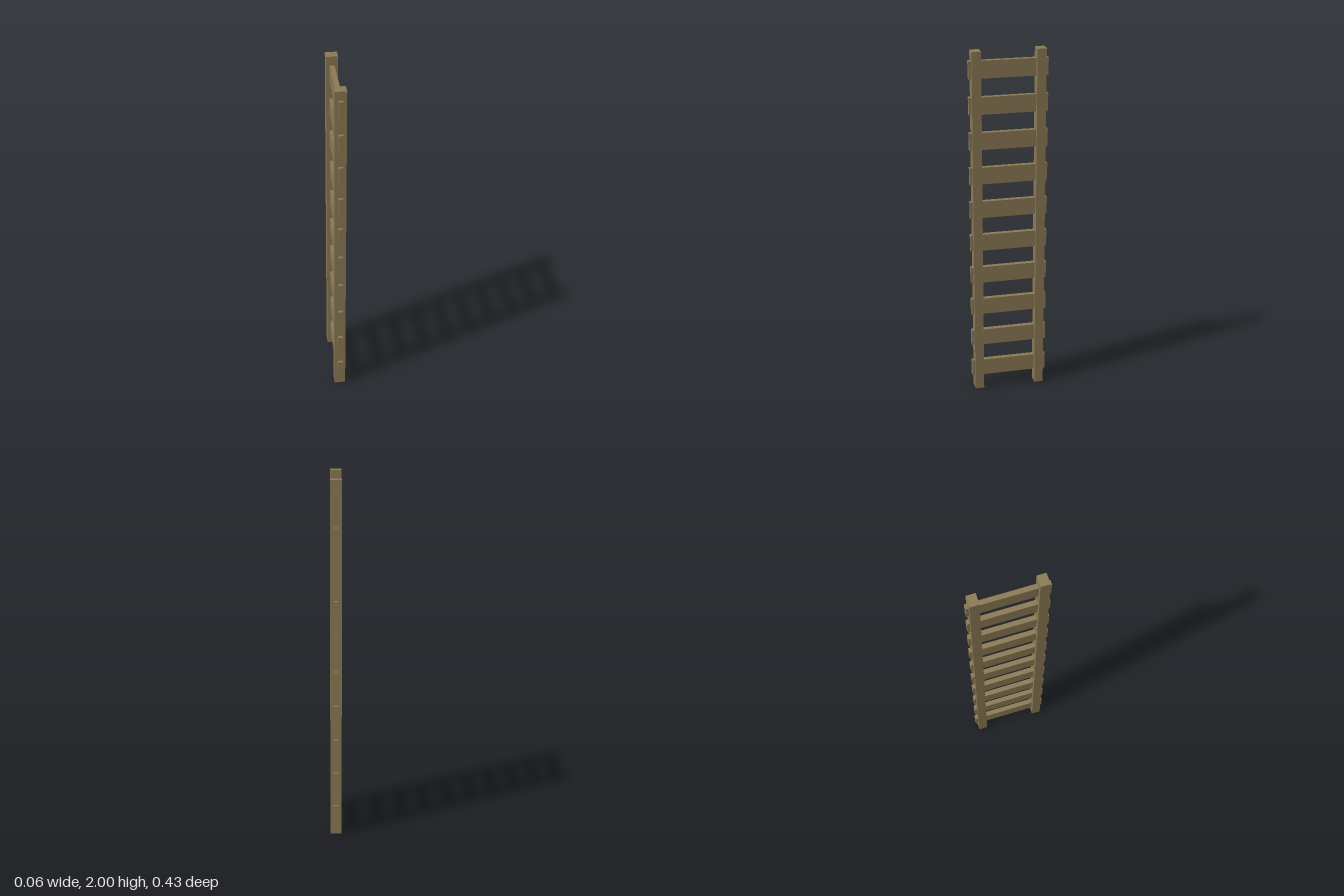
import * as THREE from 'three';

export function createModel() {
  const ladder = new THREE.Group();
  ladder.name = 'ladder';
  const wood = new THREE.MeshStandardMaterial({ color: 0x8b7a55 });
  wood.name = 'wood';

  const addBox = (name, geometry, y, z) => {
    const mesh = new THREE.Mesh(geometry, wood);
    mesh.name = name;
    mesh.position.set(0, y, z);
    ladder.add(mesh);
  };

  // Two upright rails
  const railGeometry = new THREE.BoxGeometry(0.063, 2, 0.051);
  addBox('frontRail', railGeometry, 1, 0.176);
  addBox('backRail', railGeometry, 1, -0.176);

  // Ten flat rungs whose ends pass through the rails
  const rungCount = 10;
  const rungGeometry = new THREE.BoxGeometry(0.027, 0.096, 0.432);
  for (let i = 0; i < rungCount; i++) {
    addBox(`rung${i + 1}`, rungGeometry, 0.128 + i * 0.1969, 0);
  }

  return ladder;
}
